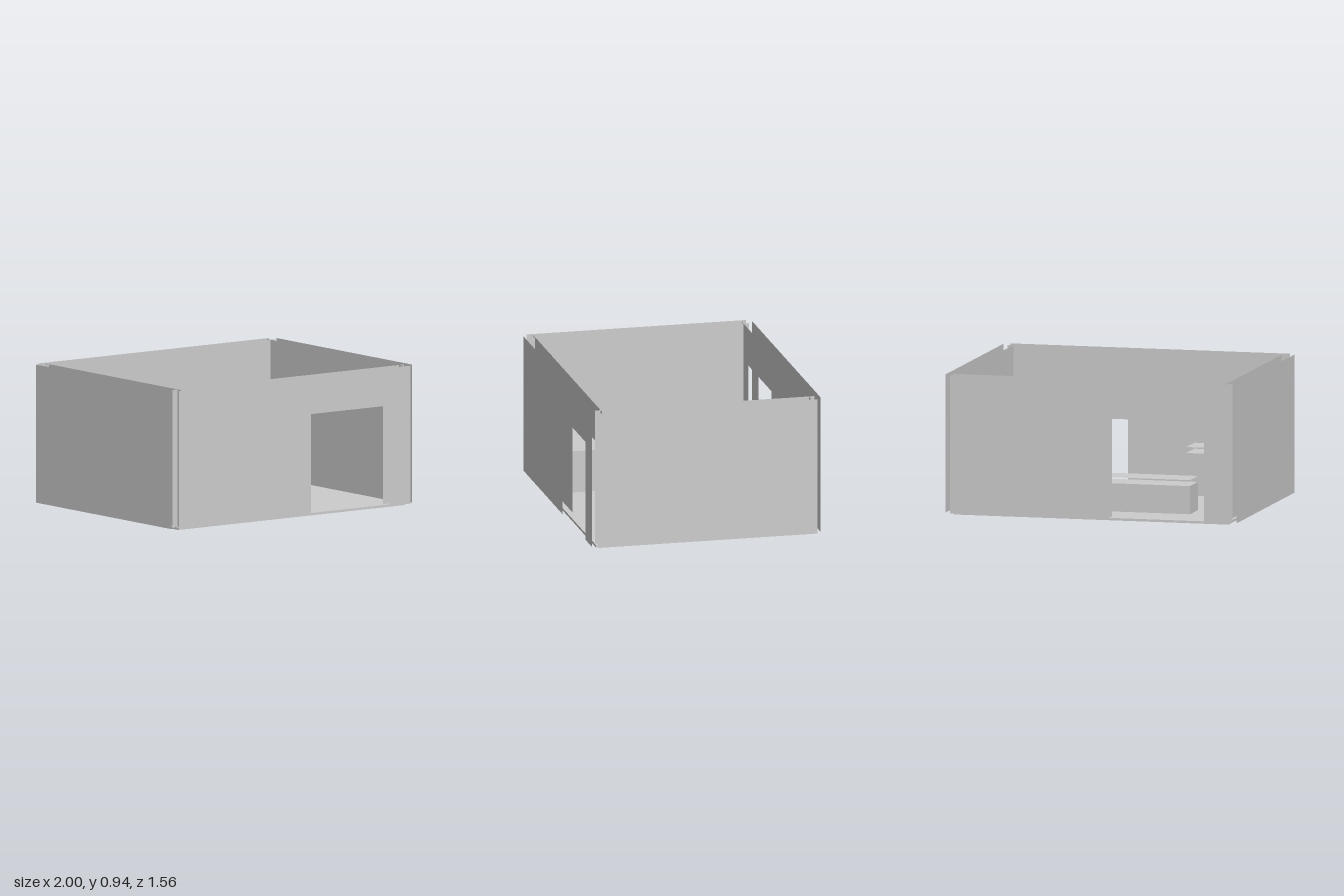
import * as THREE from 'three';

export function createModel() {
  const model = new THREE.Group();
  const grey = new THREE.MeshStandardMaterial({ color: 0xcccccc, side: THREE.DoubleSide });
  grey.name = 'plain grey';

  const add = (parent, geometry, name, x = 0, y = 0, z = 0) => {
    const mesh = new THREE.Mesh(geometry, grey);
    mesh.name = name;
    mesh.position.set(x, y, z);
    parent.add(mesh);
    return mesh;
  };

  const TOP = 0.938, BASE = 0.011, FLOOR = 0.016;

  // Wall skin with a doorway notch rising from its lower edge
  const doorWall = new THREE.ShapeGeometry(new THREE.Shape([
    [-0.962, BASE], [0.135, BASE], [0.135, 0.686], [0.785, 0.686],
    [0.785, BASE], [0.962, BASE], [0.962, TOP], [-0.962, TOP],
  ].map(p => new THREE.Vector2(...p))));
  const sideWall = new THREE.PlaneGeometry(1.5, TOP - BASE).rotateY(Math.PI / 2);

  // Floor slab
  add(model, new THREE.BoxGeometry(1.885, FLOOR, 1.5), 'floor', 0, FLOOR / 2, 0);

  // The plan has half-turn symmetry: each half is one doorway wall and one side wall,
  // both made of an outer and an inner skin; the inner skins cross at the corners
  for (const [label, turn] of [['front', 0], ['back', Math.PI]]) {
    const half = new THREE.Group();
    half.name = label + 'Walls';
    half.rotation.y = turn;
    add(half, doorWall, 'doorWallOuterSkin', 0, 0, 0.782);
    add(half, doorWall, 'doorWallInnerSkin', 0, 0, 0.712);
    add(half, sideWall, 'sideWallOuterSkin', 1, (TOP + BASE) / 2, 0);
    add(half, sideWall, 'sideWallInnerSkin', 0.92, (TOP + BASE) / 2, 0);
    model.add(half);
  }

  // Furniture blocks, each with a thin top panel floating just above
  const furniture = (name, x0, x1, z0, z1, height) => {
    const group = new THREE.Group();
    group.name = name;
    group.position.set((x0 + x1) / 2, 0, (z0 + z1) / 2);
    const w = x1 - x0, d = z1 - z0;
    add(group, new THREE.BoxGeometry(w, height - FLOOR, d), 'body', 0, (height + FLOOR) / 2, 0);
    const top = add(group, new THREE.PlaneGeometry(w, d), 'topPanel', 0, height + 0.04, 0);
    top.rotation.x = -Math.PI / 2;
    model.add(group);
  };
  furniture('counter', -0.6, 0.067, -0.45, -0.243, 0.205);
  furniture('lowCabinet', -0.86, -0.345, 0.413, 0.628, 0.3);
  furniture('tallCabinet', 0.46, 0.82, -0.667, -0.452, 0.47);

  return model;
}
